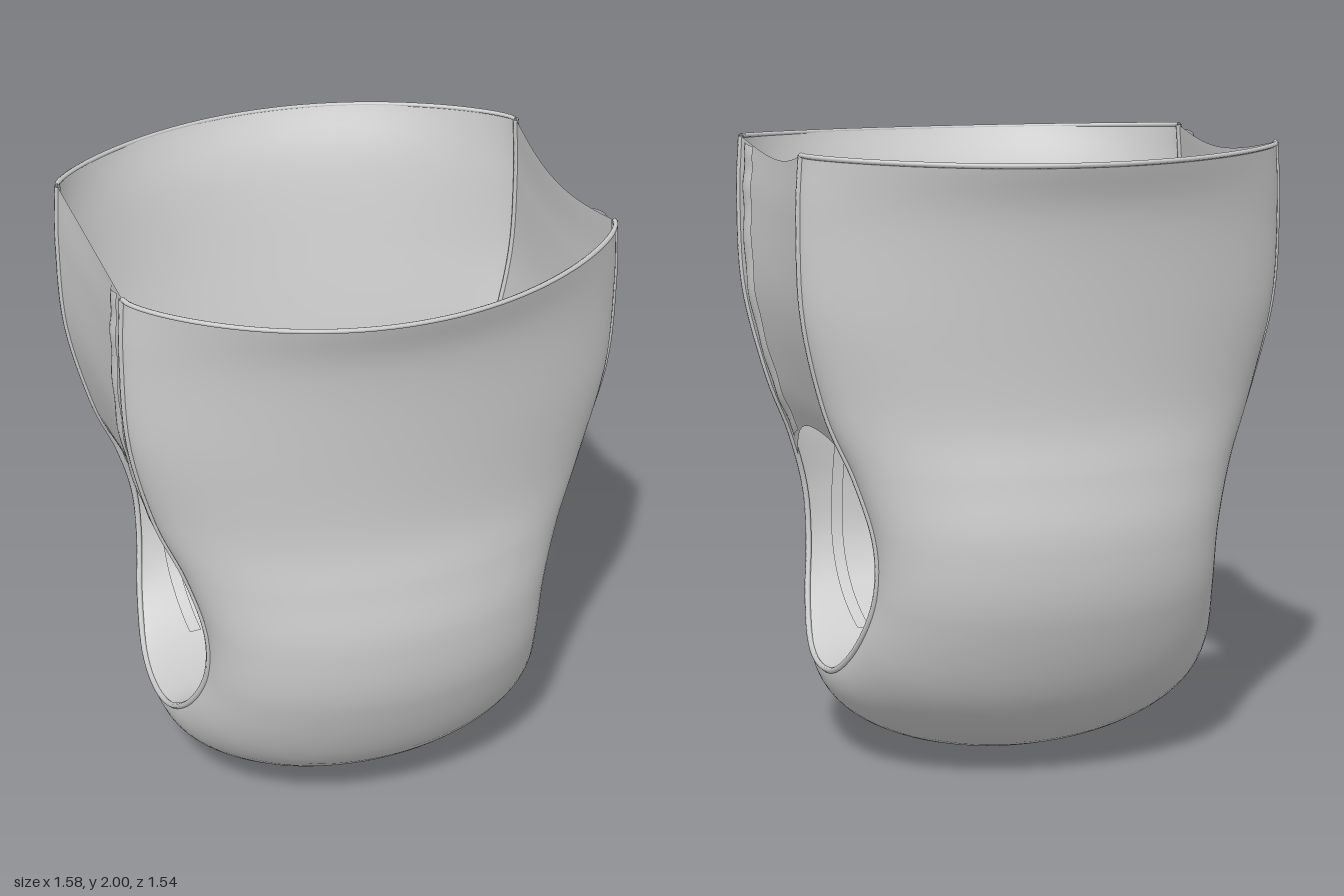
import * as THREE from 'three';
import { ParametricGeometry } from 'three/addons/geometries/ParametricGeometry.js';

// Stations from the front waist down to the crotch:
// [outer y, outer z,  edge x, edge y, edge z,  liner y, liner z]
const STATIONS = [
  [1.97, 0.765, 0.77, 1.99, 0.39, 1.97, 0.755],
  [1.80, 0.71, 0.78, 1.80, 0.39, 1.80, 0.665],
  [1.50, 0.68, 0.77, 1.50, 0.385, 1.50, 0.575],
  [1.20, 0.67, 0.70, 1.20, 0.37, 1.20, 0.495],
  [1.00, 0.70, 0.62, 1.00, 0.40, 1.00, 0.46],
  [0.80, 0.725, 0.565, 0.80, 0.43, 0.80, 0.45],
  [0.55, 0.69, 0.56, 0.62, 0.41, 0.62, 0.42],
  [0.245, 0.54, 0.59, 0.455, 0.32, 0.475, 0.335],
  [0.06, 0.29, 0.62, 0.335, 0.17, 0.375, 0.18],
  [0.00, 0.00, 0.63, 0.30, 0.00, 0.35, 0.00],
];
const LAST = STATIONS.length - 1;

// Curve through the front stations and their mirror at the back
function uCurve(pick) {
  const front = STATIONS.map(s => new THREE.Vector3(...pick(s)));
  const back = front.slice(0, -1).reverse().map(p => new THREE.Vector3(p.x, p.y, -p.z));
  return new THREE.CatmullRomCurve3([...front, ...back], false, 'catmullrom', 0.5);
}
const outerLine = uCurve(s => [0, s[0], s[1]]);
const edgeLine = uCurve(s => [s[2], s[3], s[4]]);
const linerLine = uCurve(s => [0, s[5], s[6]]);

// Cross-section from the centre line (a = 0) to the leg edges (a = +-PI/2):
// elliptic at the crotch, more pointed towards the waist
function section(centre, u, a, target) {
  const c = centre.getPoint(u), e = edgeLine.getPoint(u);
  const point = 0.6 * THREE.MathUtils.smoothstep(c.y, 0.7, 1.8);
  const k = THREE.MathUtils.lerp(1 - Math.cos(a), Math.sin(a) ** 2, point);
  return target.set(e.x * Math.sin(a), c.y + (e.y - c.y) * k, c.z + (e.z - c.z) * k);
}

// Stretch panel between the front and back edges; v runs from front to back
function panelPoint(side, u, v, offset, target) {
  const bottom = 3.55 + 0.9 * (1 - v) ** 6;
  const e = edgeLine.getPoint((u * bottom) / (2 * LAST));
  const bow = Math.sin(Math.PI * v);
  return target.set(
    side * (e.x - 0.02 * bow + offset),
    e.y - 0.045 * bow * (1 - u),
    e.z * (1 - 2 * v));
}

export function createModel() {
  const group = new THREE.Group();
  const fabric = new THREE.MeshStandardMaterial({ color: 0xcccccc, side: THREE.DoubleSide });
  fabric.name = 'light grey fabric';

  const add = (name, geometry) => {
    const mesh = new THREE.Mesh(geometry, fabric);
    mesh.name = name;
    group.add(mesh);
  };
  const sheet = (name, fn, nu, nv) => add(name, new ParametricGeometry(fn, nu, nv));

  // Outer shell and padded inner liner, joined at the leg edges and waist
  const angle = v => (v - 0.5) * Math.PI;
  sheet('outerShell', (u, v, t) => section(outerLine, u, angle(v), t), 96, 40);
  sheet('innerLiner', (u, v, t) => section(linerLine, u, angle(v), t), 96, 40);

  // Waist hems
  for (const [name, u] of [['frontWaistHem', 0], ['backWaistHem', 1]]) {
    const points = [];
    for (let i = 0; i <= 24; i++) points.push(section(outerLine, u, angle(i / 24), new THREE.Vector3()));
    add(name, new THREE.TubeGeometry(new THREE.CatmullRomCurve3(points), 64, 0.008, 6));
  }

  for (const side of [1, -1]) {
    const label = side > 0 ? 'left' : 'right';

    // Raised seam along the side edges and around the leg opening
    const seam = [];
    for (let i = 0; i <= 60; i++) {
      const p = edgeLine.getPoint(i / 60);
      seam.push(new THREE.Vector3(side * p.x, p.y, p.z));
    }
    add(label + 'EdgeSeam', new THREE.TubeGeometry(new THREE.CatmullRomCurve3(seam), 120, 0.01, 6));

    // Stretch side panel
    sheet(label + 'SidePanel', (u, v, t) => panelPoint(side, u, v, 0, t), 32, 32);

    // Gathered strip standing slightly off the panel near the front
    sheet(label + 'FasteningStrip', (u, v, t) => {
      const puff = 0.005 + 0.009 * Math.sin(Math.PI * v) + 0.002 * Math.sin(u * 40);
      return panelPoint(side, u, 0.075 + 0.11 * v, puff, t);
    }, 48, 6);

    // Narrow elastic strips on the liner, front and back
    for (const end of ['Front', 'Back']) {
      sheet(label + end + 'LegElastic', (u, v, t) => {
        const station = THREE.MathUtils.lerp(4.3, 8.1, u) / (2 * LAST);
        const s = end === 'Front' ? station : 1 - station;
        const x = 0.42 + 0.04 * v + 0.02 * Math.sin(Math.PI * u);
        section(linerLine, s, side * Math.asin(x / edgeLine.getPoint(s).x), t);
        t.z *= 0.975;
        t.y += 0.012 * u;
        return t;
      }, 24, 2);
    }
  }
  return group;
}
